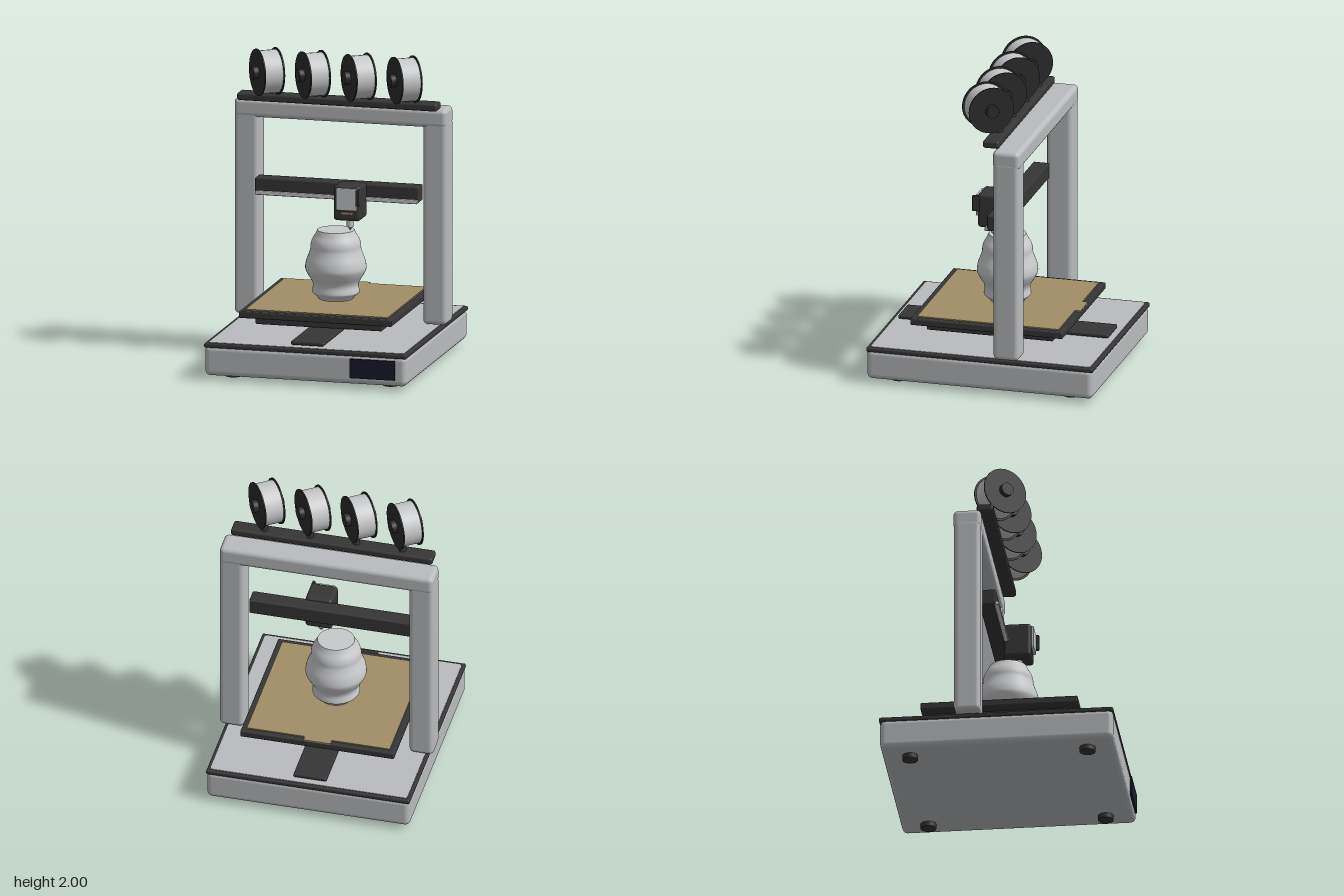
import * as THREE from 'three';
import { RoundedBoxGeometry } from 'three/addons/geometries/RoundedBoxGeometry.js';

const mat = (name, color) => new THREE.MeshStandardMaterial({ name, color });

export function createModel() {
  const grey = mat('frame grey', 0xb9bbbe);
  const light = mat('light plastic', 0xc8c9cb);
  const dark = mat('dark grey', 0x363636);
  const black = mat('near black', 0x2a2a2a);
  const gold = mat('gold sheet', 0xa08e66);
  const navy = mat('screen navy', 0x1a1a2e);

  const model = new THREE.Group();
  model.name = 'printer';

  const add = (name, geometry, material, x = 0, y = 0, z = 0, parent = model) => {
    const m = new THREE.Mesh(geometry, material);
    m.name = name;
    m.position.set(x, y, z);
    parent.add(m);
    return m;
  };
  // Box given by its limits on each axis, rounded when r > 0
  const box = (name, material, [x0, x1], [y0, y1], [z0, z1], r = 0, parent = model) => {
    const s = [x1 - x0, y1 - y0, z1 - z0];
    const g = r > 0 ? new RoundedBoxGeometry(...s, 4, r) : new THREE.BoxGeometry(...s);
    return add(name, g, material, (x0 + x1) / 2, (y0 + y1) / 2, (z0 + z1) / 2, parent);
  };
  const cyl = (name, material, r, h, x, y, z, parent = model) =>
    add(name, new THREE.CylinderGeometry(r, r, h, 32), material, x, y, z, parent);

  // Base with dark rim, top panel, feet and screen
  box('base', grey, [-0.66, 0.66], [0.03, 0.225], [-0.745, 0.737], 0.035);
  box('baseRim', dark, [-0.662, 0.662], [0.211, 0.24], [-0.75, 0.738], 0.01);
  const panel = new THREE.Shape();
  const px = 0.64, pz = 0.72, c = 0.02;
  panel.moveTo(-px + c, -pz);
  panel.lineTo(px - c, -pz);
  panel.quadraticCurveTo(px, -pz, px, -pz + c);
  panel.lineTo(px, pz - c);
  panel.quadraticCurveTo(px, pz, px - c, pz);
  panel.lineTo(-px + c, pz);
  panel.quadraticCurveTo(-px, pz, -px, pz - c);
  panel.lineTo(-px, -pz + c);
  panel.quadraticCurveTo(-px, -pz, -px + c, -pz);
  const panelGeo = new THREE.ExtrudeGeometry(panel, { depth: 0.004, bevelEnabled: false });
  panelGeo.rotateX(-Math.PI / 2);
  add('topPanel', panelGeo, grey, 0, 0.239, -0.006);
  for (const x of [-0.515, 0.515])
    for (const z of [-0.567, 0.56]) cyl('foot', dark, 0.05, 0.034, x, 0.017, z);
  box('screen', navy, [0.295, 0.59], [0.073, 0.197], [0.73, 0.75]);

  // Bed rail, carriage, heated bed and sheet with rear tab
  box('bedRail', dark, [-0.108, 0.108], [0.25, 0.276], [-0.695, 0.685], 0.01);
  box('bedCarriage', dark, [-0.415, 0.415], [0.307, 0.37], [-0.42, 0.41], 0.01);
  box('bed', dark, [-0.5, 0.5], [0.36, 0.404], [-0.505, 0.495], 0.008);
  box('buildSheet', gold, [-0.465, 0.465], [0.403, 0.412], [-0.47, 0.458]);
  box('sheetTab', gold, [-0.088, 0.088], [0.403, 0.412], [-0.507, -0.465]);

  // Printed vase
  const profile = [[0.108, 0.411], [0.122, 0.43], [0.147, 0.45], [0.15, 0.465], [0.144, 0.5],
    [0.153, 0.53], [0.173, 0.562], [0.19, 0.595], [0.194, 0.62], [0.187, 0.66], [0.172, 0.7],
    [0.161, 0.735], [0.159, 0.765], [0.15, 0.795], [0.132, 0.825], [0.118, 0.855]];
  const curve = new THREE.SplineCurve(profile.map(p => new THREE.Vector2(...p)));
  add('vase', new THREE.LatheGeometry(curve.getPoints(48), 48), light, 0, 0, -0.003);
  const lid = add('vaseTop', new THREE.CircleGeometry(0.118, 48), light, 0, 0.855, -0.003);
  lid.rotation.x = -Math.PI / 2;

  // Gantry frame
  for (const s of [-1, 1])
    box('post', grey, [s * 0.617 - 0.079, s * 0.617 + 0.079], [0.25, 1.575], [-0.27, -0.103], 0.03);
  box('topBeam', grey, [-0.695, 0.695], [1.525, 1.645], [-0.275, -0.098], 0.03);
  box('crossBar', dark, [-0.537, 0.537], [1.052, 1.155], [-0.125, -0.02], 0.01);
  box('crossRail', light, [-0.532, 0.532], [1.048, 1.074], [-0.03, -0.003], 0.006);

  // Tool head with cover and nozzle
  const head = new THREE.Group();
  head.name = 'toolHead';
  model.add(head);
  box('headBody', dark, [0.02, 0.196], [0.945, 1.17], [-0.035, 0.14], 0.022, head);
  box('headCover', light, [0.042, 0.176], [1.015, 1.157], [0.13, 0.155], 0.006, head);
  box('coverSide', dark, [0.176, 0.196], [1.052, 1.155], [0.125, 0.174], 0.004, head);
  box('headVent', gold, [0.072, 0.148], [0.99, 1.002], [0.136, 0.143], 0, head);
  cyl('nozzleHolder', light, 0.023, 0.055, 0.109, 0.922, 0.052, head);
  add('nozzleTip', new THREE.CylinderGeometry(0.02, 0.004, 0.026, 24), gold, 0.109, 0.885, 0.052, head);

  // Spool bar with four turned spools
  box('spoolBar', dark, [-0.655, 0.655], [1.648, 1.697], [-0.13, -0.024], 0.015);
  for (let i = 0; i < 4; i++) {
    const x = -0.45 + i * 0.3;
    cyl('spoolStem', dark, 0.024, 0.14, x, 1.755, -0.075);
    const turn = new THREE.Group();
    turn.name = 'spool';
    turn.position.set(x, 1.85, -0.003);
    turn.rotation.y = THREE.MathUtils.degToRad(35);
    model.add(turn);
    const axle = new THREE.Group();
    axle.name = 'spoolAxle';
    axle.rotation.z = Math.PI / 2;
    turn.add(axle);
    cyl('filament', light, 0.138, 0.125, 0, 0, 0, axle);
    cyl('hub', black, 0.042, 0.205, 0, 0, 0, axle);
    for (const s of [-1, 1])
      add('flange', new THREE.CylinderGeometry(0.15, 0.15, 0.008, 48), black, 0, s * 0.064, 0, axle);
  }
  return model;
}
